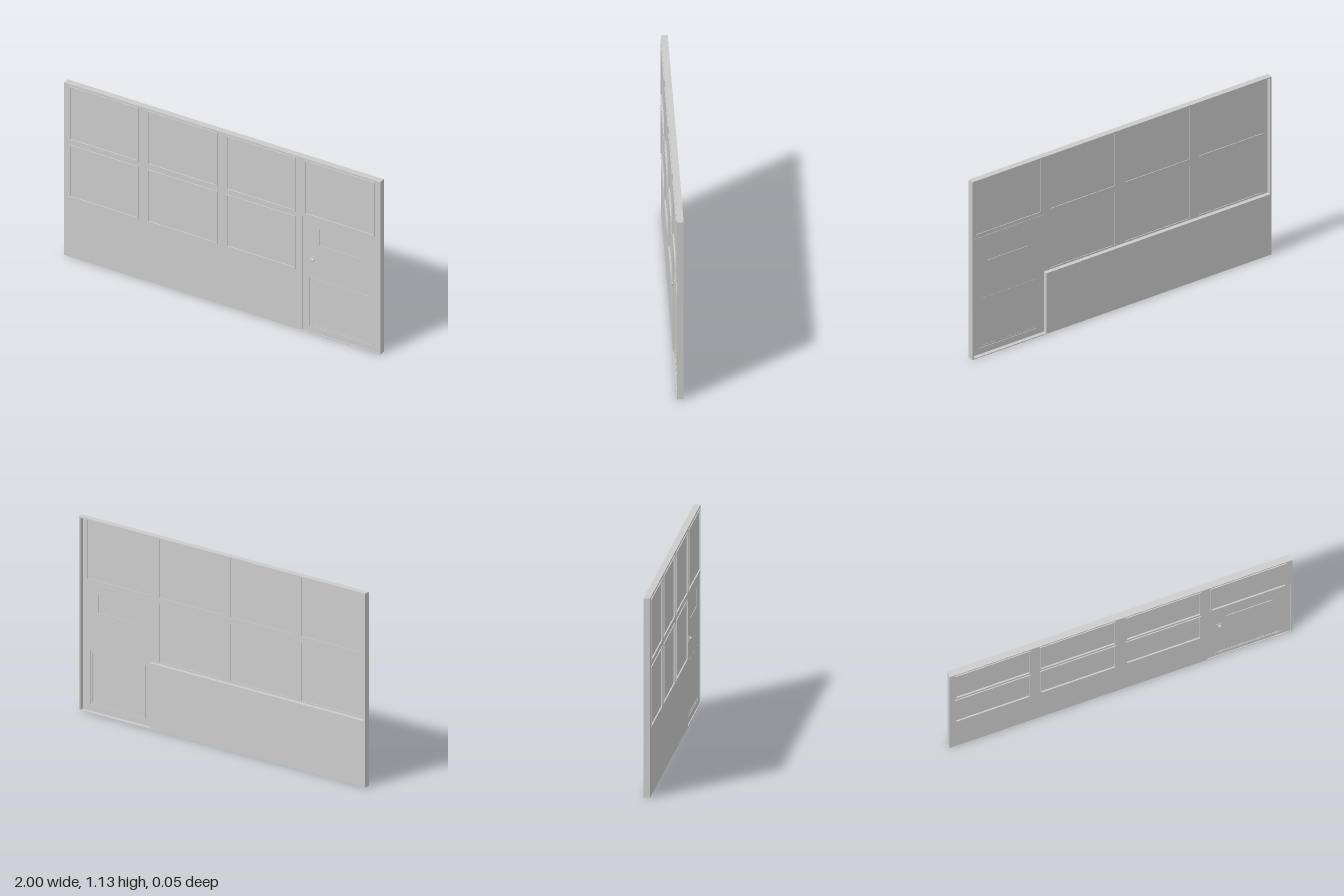
import * as THREE from 'three';

const material = new THREE.MeshStandardMaterial({ color: 0xcccccc, flatShading: true });

// Adds a mesh with a plain name
function add(parent, name, geometry) {
  const mesh = new THREE.Mesh(geometry, material);
  mesh.name = name;
  parent.add(mesh);
  return mesh;
}

// Box given by its limits on each axis
function block(parent, name, x0, x1, y0, y1, z0, z1) {
  const mesh = add(parent, name, new THREE.BoxGeometry(x1 - x0, y1 - y0, z1 - z0));
  mesh.position.set((x0 + x1) / 2, (y0 + y1) / 2, (z0 + z1) / 2);
  return mesh;
}

function trace(path, [x0, x1, y0, y1]) {
  path.moveTo(x0, y0);
  path.lineTo(x1, y0);
  path.lineTo(x1, y1);
  path.lineTo(x0, y1);
  path.closePath();
  return path;
}

// Flat rectangular sheet with rectangular openings
function sheet(parent, name, outline, openings, z0, z1) {
  const shape = trace(new THREE.Shape(), outline);
  openings.forEach((o) => shape.holes.push(trace(new THREE.Path(), o)));
  const geometry = new THREE.ExtrudeGeometry(shape, { depth: z1 - z0, bevelEnabled: false });
  geometry.translate(0, 0, z0);
  return add(parent, name, geometry);
}

const inset = ([x0, x1, y0, y1], d) => [x0 + d, x1 - d, y0 + d, y1 - d];

export function createModel() {
  const model = new THREE.Group();
  model.name = 'wallWithDoorAndWindows';

  const H = 1.13, BACK = -0.025, FRONT = 0.012;
  const doorway = [0.505, 0.99, 0.005, 0.747];

  // Window grid: three below beside the door, four above
  const windows = [];
  for (let i = 0; i < 4; i++) {
    const x = -0.97 + i * 0.497;
    if (i < 3) windows.push([x, x + 0.442, 0.39, 0.735]);
    windows.push([x, x + 0.442, 0.765, 1.118]);
  }

  // Front skin with openings
  sheet(model, 'frontPanel', [-1, 1, 0, H],
    [doorway, ...windows.map((w) => inset(w, 0.005))], 0, FRONT);

  // Deep lower wall and the thin rim around the back
  block(model, 'lowerWall', -1, 0.505, 0, 0.385, BACK, 0.001);
  block(model, 'topRim', -1, 1, H - 0.008, H, BACK, 0.001);
  block(model, 'threshold', 0.505, 1, 0, 0.005, BACK, 0.001);
  block(model, 'rightRim', -1, -0.99, 0.385, H - 0.008, BACK, 0.001);
  block(model, 'leftRim', 0.99, 1, 0.005, H - 0.008, BACK, 0.001);

  // Window panes with a slim raised trim
  windows.forEach((w) => {
    const win = new THREE.Group();
    win.name = 'window';
    model.add(win);
    sheet(win, 'windowTrim', w, [inset(w, 0.008)], FRONT - 0.001, 0.017);
    const [x0, x1, y0, y1] = w;
    block(win, 'windowPane', x0 + 0.003, x1 - 0.003, y0 + 0.003, y1 - 0.003, 0.004, 0.008);
  });

  // Door leaf with a small upper light and a framed lower panel
  const door = new THREE.Group();
  door.name = 'door';
  model.add(door);
  const light = [0.61, 0.885, 0.585, 0.69];
  const lower = [0.55, 0.94, 0.042, 0.358];
  sheet(door, 'doorLeaf', doorway, [light, lower], -0.002, 0.007);
  block(door, 'doorLight', ...light, 0.001, 0.004);
  sheet(door, 'lowerPanelFrame', inset(lower, 0.003), [inset(lower, 0.013)], 0, 0.006);
  block(door, 'lowerPanel', ...lower, 0.001, 0.004);

  // Door knob on a short stem and a small plate
  const knob = new THREE.Group();
  knob.name = 'doorKnob';
  knob.position.set(0.575, 0.485, 0);
  door.add(knob);
  block(knob, 'knobPlate', -0.02, 0.016, -0.018, 0.016, 0.006, 0.0095);
  const stem = add(knob, 'knobStem', new THREE.CylinderGeometry(0.005, 0.006, 0.01, 12));
  stem.rotation.x = Math.PI / 2;
  stem.position.z = 0.011;
  const ball = add(knob, 'knobBall', new THREE.SphereGeometry(0.01, 12, 8));
  ball.scale.z = 0.8;
  ball.position.z = 0.017;

  return model;
}
